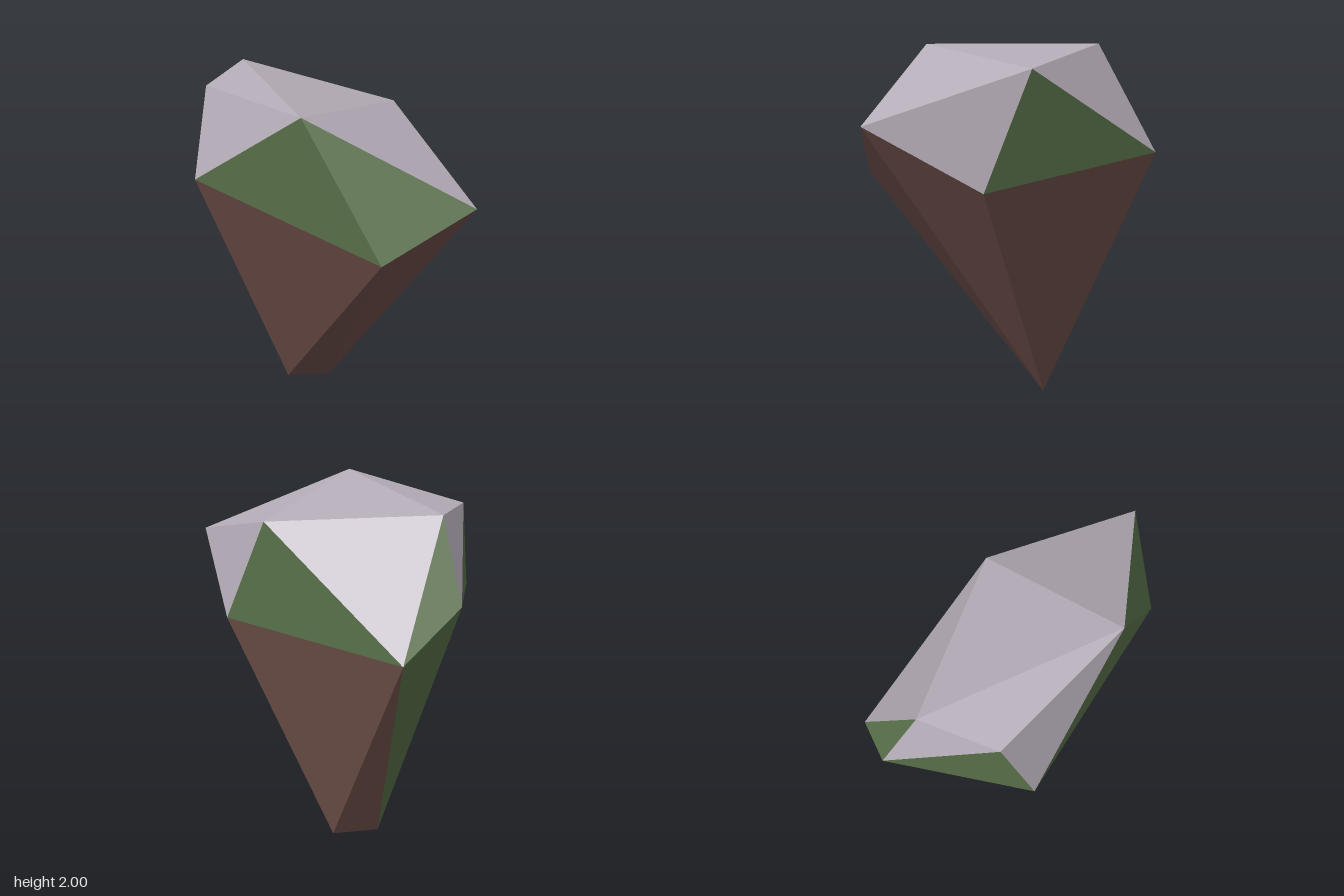
import * as THREE from 'three';

// Corners of the faceted boulder, from crown to foot
const P = {
  crownFront: [-0.355, 2.0, 0.21], crownRight: [0.42, 1.88, 0.11],
  crownBack: [0.07, 2.0, -0.74], crownRear: [-0.305, 1.96, -0.6],
  nose: [0.11, 1.615, 0.94], frontLow: [-0.255, 1.33, 0.67],
  sideLow: [0.42, 1.27, 0.43], sideBack: [0.46, 1.38, -0.83],
  tail: [0.17, 1.62, -0.94], rearLow: [-0.46, 1.47, -0.55],
  footFront: [0.22, 0, -0.18], footBack: [0.015, 0, -0.35],
};

// Facets of each surface
const PARTS = {
  stoneFacets: [
    'crownFront crownRight crownBack', 'crownFront crownBack crownRear',
    'crownFront crownRight nose', 'crownRight nose sideLow',
    'crownRight sideBack crownBack', 'crownBack tail crownRear',
    'crownFront crownRear rearLow',
  ],
  mossFacets: [
    'crownRight sideLow sideBack', 'sideBack crownBack tail',
    'crownRear tail rearLow', 'crownFront rearLow frontLow',
    'crownFront frontLow nose', 'sideBack footBack tail',
    'tail footBack rearLow',
  ],
  earthFacets: [
    'nose sideLow footFront', 'frontLow nose footFront',
    'frontLow footBack footFront', 'frontLow rearLow footBack',
    'sideLow sideBack footFront', 'sideBack footFront footBack',
  ],
};
const COLORS = { stoneFacets: ['stone', 0xb5adb8], mossFacets: ['moss', 0x587049], earthFacets: ['earth', 0x6b4d47] };

// Builds flat triangles, each wound to face away from the core
function facetGeometry(facets) {
  const core = new THREE.Vector3(0.07, 1.3, -0.1);
  const points = [];
  for (const facet of facets) {
    const [a, b, c] = facet.split(' ').map((n) => new THREE.Vector3(...P[n]));
    const normal = new THREE.Triangle(a, b, c).getNormal(new THREE.Vector3());
    const outward = normal.dot(a.clone().sub(core)) > 0;
    points.push(...(outward ? [a, b, c] : [a, c, b]));
  }
  const geometry = new THREE.BufferGeometry().setFromPoints(points);
  geometry.computeVertexNormals();
  return geometry;
}

export function createModel() {
  const group = new THREE.Group();
  group.name = 'boulder';
  for (const [name, facets] of Object.entries(PARTS)) {
    const [colorName, color] = COLORS[name];
    const material = new THREE.MeshStandardMaterial({ color });
    material.name = colorName;
    const mesh = new THREE.Mesh(facetGeometry(facets), material);
    mesh.name = name;
    group.add(mesh);
  }
  return group;
}
